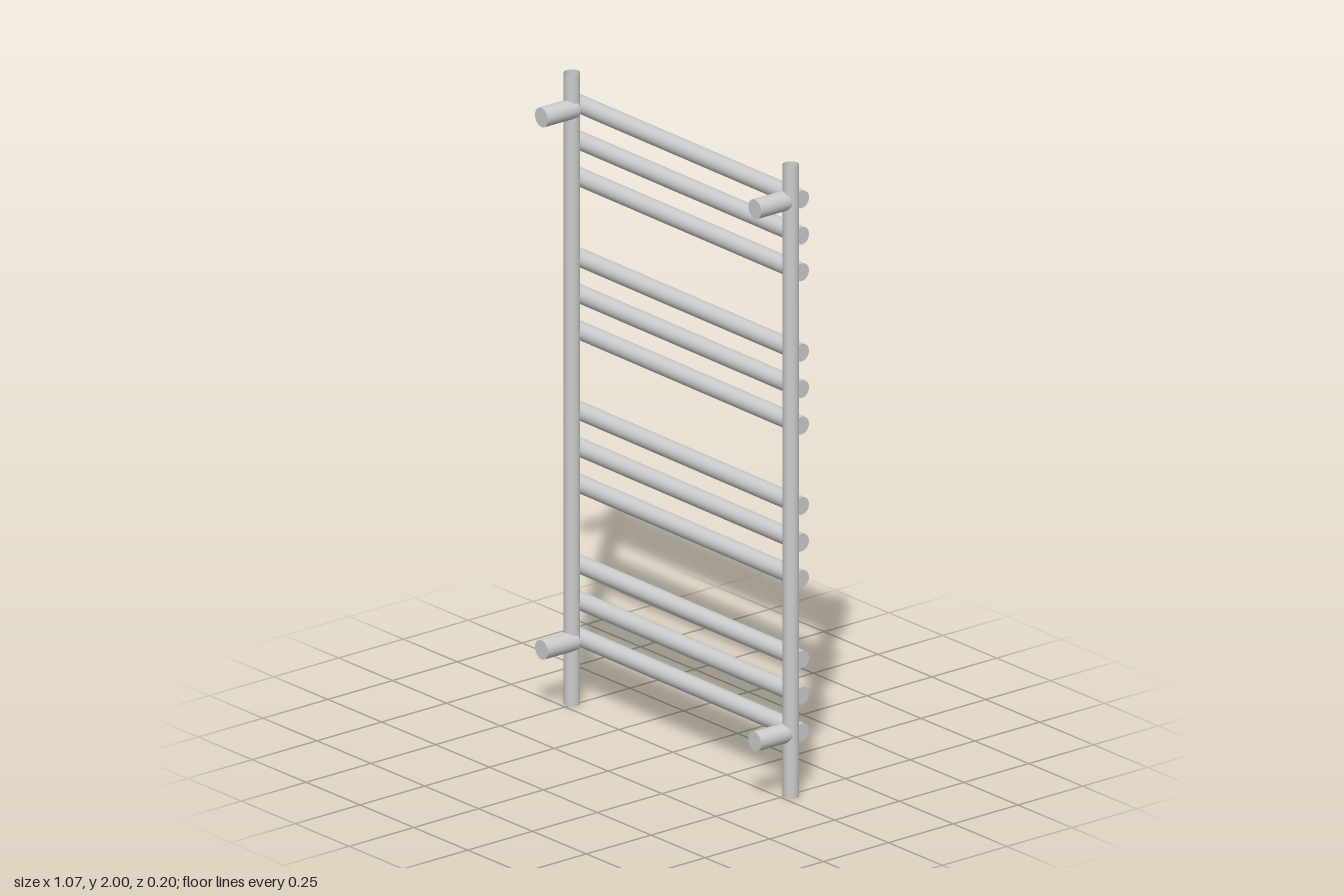
import * as THREE from 'three';

const metal = new THREE.MeshStandardMaterial({ color: 0xcccccc });
const openMetal = new THREE.MeshStandardMaterial({ color: 0xcccccc, side: THREE.DoubleSide });

function tube(name, radius, length, x, y, z, open = false) {
  const geometry = new THREE.CylinderGeometry(radius, radius, length, 32, 1, open);
  const mesh = new THREE.Mesh(geometry, open ? openMetal : metal);
  mesh.name = name;
  mesh.position.set(x, y, z);
  return mesh;
}

export function createModel() {
  const model = new THREE.Group();
  model.name = 'towelRail';

  // Two upright posts, open at both ends
  for (const side of [-1, 1]) {
    model.add(tube(side > 0 ? 'leftPost' : 'rightPost', 0.0245, 2, side * 0.508, 1, -0.033, true));
  }

  // Bars and wall mounts sit at a very slight angle to the posts
  const rungs = new THREE.Group();
  rungs.name = 'barsAndMounts';
  rungs.position.x = -0.003;
  rungs.rotation.y = -0.0119;
  model.add(rungs);

  // Four groups of three horizontal bars behind the posts
  for (let group = 0; group < 4; group++) {
    for (let i = 0; i < 3; i++) {
      const bar = tube('bar', 0.0277, 1.057, -0.001, 0.199 + group * 0.4857 + i * 0.1155, -0.067);
      bar.rotation.z = Math.PI / 2;
      rungs.add(bar);
    }
  }

  // Four short wall mounts in front of the posts
  for (const side of [-1, 1]) {
    for (const y of [0.2, 1.886]) {
      const mount = tube('wallMount', 0.0305, 0.124, side * 0.502, y, 0.03);
      mount.rotation.x = Math.PI / 2;
      rungs.add(mount);
    }
  }

  return model;
}
